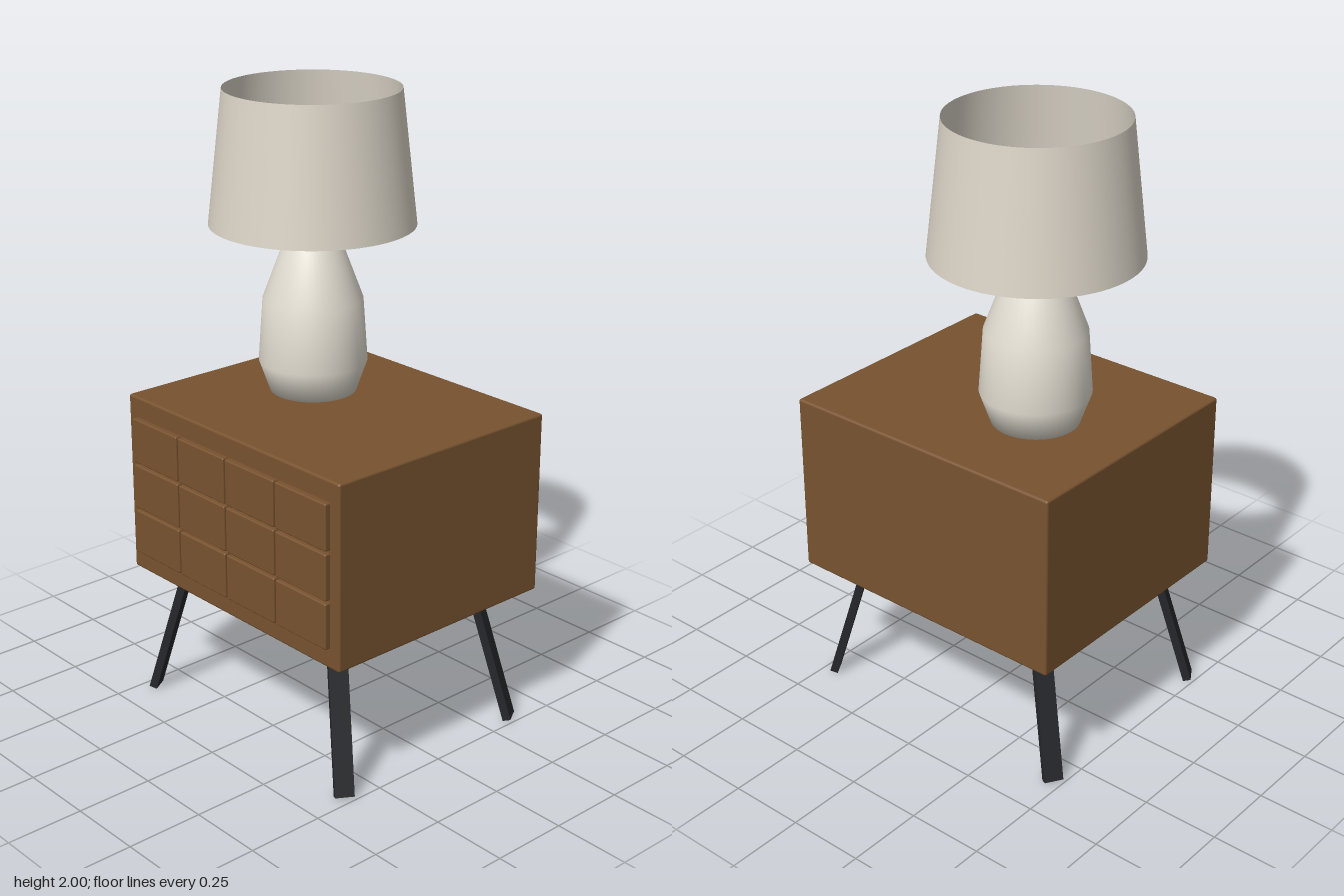
import * as THREE from 'three';
import { RoundedBoxGeometry } from 'three/addons/geometries/RoundedBoxGeometry.js';

const material = (name, color, extra = {}) => {
  const m = new THREE.MeshStandardMaterial({ color, ...extra });
  m.name = name;
  return m;
};

export function createModel() {
  const wood = material('walnut wood', 0x78532f);
  const black = material('black metal', 0x25272a);
  const ceramic = material('cream ceramic', 0xe4dfd3);
  const fabric = material('shade fabric', 0xdcd5c8, { side: THREE.DoubleSide });

  const model = new THREE.Group();
  model.name = 'nightstandWithLamp';
  const add = (name, geometry, mat, x = 0, y = 0, z = 0, parent = model) => {
    const mesh = new THREE.Mesh(geometry, mat);
    mesh.name = name;
    mesh.position.set(x, y, z);
    parent.add(mesh);
    return mesh;
  };

  // Cabinet with softly rounded edges
  add('cabinet', new RoundedBoxGeometry(0.99, 0.595, 0.84, 2, 0.008), wood, -0.002, 0.7425, -0.01);

  // Drawer fronts, four columns by three rows
  const panel = new RoundedBoxGeometry(0.223, 0.148, 0.04, 2, 0.005);
  for (let row = 0; row < 3; row++) {
    for (let col = 0; col < 4; col++) {
      add('drawerFront', panel, wood, -0.346 + col * 0.2295, 0.586 + row * 0.1565, 0.409);
    }
  }

  // Splayed legs: flat bars with the broad face turned outward to the corner
  const addLeg = (name, foot, top) => {
    const along = top.clone().sub(foot);
    const length = along.length();
    along.normalize();
    const outward = new THREE.Vector3(foot.x - top.x, 0, foot.z - top.z).normalize();
    const across = outward.clone().cross(along).normalize();
    outward.crossVectors(along, across);
    const leg = add(name, new THREE.BoxGeometry(0.026, length, 0.06), black);
    leg.quaternion.setFromRotationMatrix(new THREE.Matrix4().makeBasis(outward, along, across));
    leg.position.copy(foot).add(top).multiplyScalar(0.5);
  };
  for (const side of [-1, 1]) {
    const label = side > 0 ? 'Left' : 'Right';
    addLeg('front' + label + 'Leg',
      new THREE.Vector3(side * 0.468, 0.004, 0.366), new THREE.Vector3(side * 0.356, 0.455, 0.297));
    addLeg('back' + label + 'Leg',
      new THREE.Vector3(side * 0.468, 0.004, -0.352), new THREE.Vector3(side * 0.356, 0.455, -0.283));
  }

  // Table lamp
  const lamp = new THREE.Group();
  lamp.name = 'lamp';
  lamp.position.set(-0.152, 0, -0.06);
  model.add(lamp);

  const profile = [[0, 1.04], [0.137, 1.04], [0.172, 1.14], [0.158, 1.34], [0.083, 1.54], [0.045, 1.585], [0, 1.605]];
  add('lampBase', new THREE.LatheGeometry(profile.map(([r, y]) => new THREE.Vector2(r, y)), 48),
    ceramic, 0, 0, 0, lamp);
  const stem = [[0.029, 1.585], [0.029, 1.655], [0.022, 1.672], [0, 1.68]];
  add('lampStem', new THREE.LatheGeometry(stem.map(([r, y]) => new THREE.Vector2(r, y)), 24),
    ceramic, 0, 0, 0, lamp);
  add('lampShade', new THREE.CylinderGeometry(0.274, 0.322, 0.42, 64, 1, true), fabric, 0, 1.79, 0, lamp);

  return model;
}
